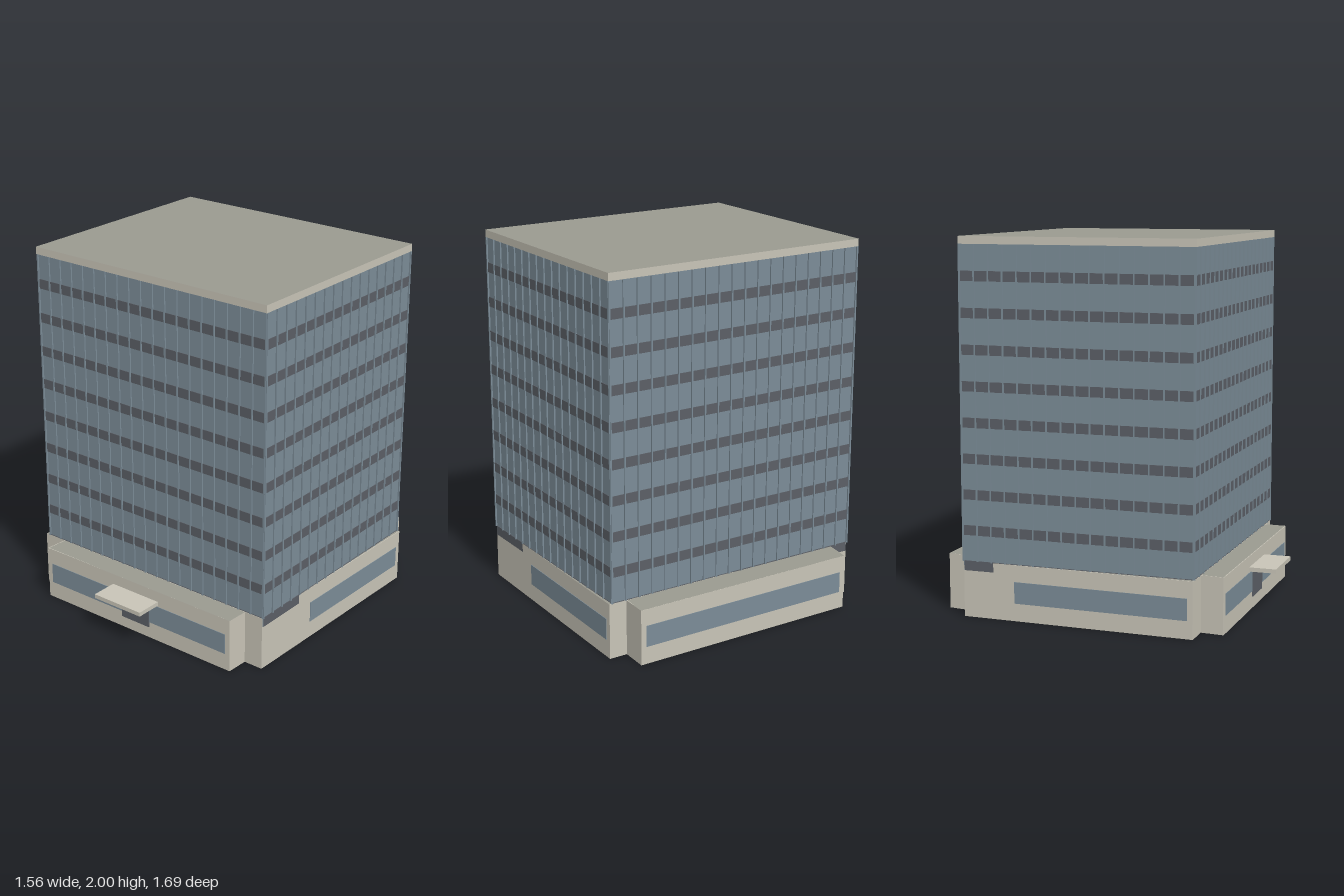
import * as THREE from 'three';

const mat = (name, color, side = THREE.FrontSide) => {
  const m = new THREE.MeshStandardMaterial({ color, side });
  m.name = name;
  return m;
};

export function createModel() {
  const model = new THREE.Group();
  model.name = 'officeTower';
  const stone = mat('paleStone', 0xc8c4b7);
  const glass = mat('blueGlass', 0x7b8c97);
  const dark = mat('darkSpandrel', 0x5b5f66);
  const roofing = mat('greyRoofing', 0x9a9a90, THREE.DoubleSide);

  // Upright panel frame: local x runs from a to b, local z points outward
  function side(name, a, b, parent) {
    const g = new THREE.Group();
    g.name = name;
    g.position.set(a[0], 0, a[1]);
    g.rotation.y = Math.atan2(a[1] - b[1], b[0] - a[0]);
    g.userData.len = Math.hypot(b[0] - a[0], b[1] - a[1]);
    parent.add(g);
    return g;
  }
  // Box in a side's own frame
  function plate(g, name, x0, x1, y0, y1, z0, z1, material) {
    const m = new THREE.Mesh(new THREE.BoxGeometry(x1 - x0, y1 - y0, z1 - z0), material);
    m.position.set((x0 + x1) / 2, (y0 + y1) / 2, (z0 + z1) / 2);
    m.name = name;
    g.add(m);
  }
  // Flat horizontal cap over plan points [x, z], with an optional hole
  function cap(name, pts, y, hole) {
    const v = (p) => new THREE.Vector2(p[0], -p[1]);
    const shape = new THREE.Shape(pts.map(v));
    if (hole) shape.holes.push(new THREE.Path(hole.map(v)));
    const m = new THREE.Mesh(new THREE.ShapeGeometry(shape).rotateX(-Math.PI / 2), roofing);
    m.position.y = y;
    m.name = name;
    model.add(m);
  }
  const rect = (x0, x1, zb, zf) => [[x0, zf], [x1, zf], [x1, zb], [x0, zb]];
  const names = ['front', 'left', 'back', 'right'];
  const H = 0.3;

  // Tower: open glass shell with spandrel bands and mullions
  const plan = rect(-0.751, 0.757, -0.692, 0.572);
  const tower = new THREE.Group();
  tower.name = 'tower';
  model.add(tower);
  plan.forEach((a, i) => {
    const g = side(names[i] + 'Facade', a, plan[(i + 1) % 4], tower);
    const L = g.userData.len, n = i % 2 ? 16 : 19, w = L / n;
    plate(g, 'glassWall', 0, L, 0.25, 1.96, -0.004, 0, glass);
    for (let f = 0; f < 9; f++) {
      const y = 0.25 + f * 0.19;
      plate(g, 'spandrelBand', 0.004, L - 0.004, y, y + 0.053, 0, 0.003, dark);
    }
    for (let k = 0; k <= n; k++) {
      plate(g, 'mullion', k * w - 0.004, k * w + 0.004, H, 1.96, 0, 0.008, glass);
    }
  });

  // Roof slab with stone edge and grey top
  const roof = rect(-0.757, 0.763, -0.698, 0.58);
  const slab = new THREE.Mesh(new THREE.BoxGeometry(1.52, 0.04, 1.278),
    [stone, stone, roofing, stone, stone, stone]);
  slab.position.set(0.003, 1.98, -0.059);
  slab.name = 'roofSlab';
  model.add(slab);

  // Podium: slightly skewed hollow walls
  const base = [[-0.78, 0.577], [0.755, 0.577], [0.775, -0.697], [-0.75, -0.693]];
  const podium = new THREE.Group();
  podium.name = 'podium';
  model.add(podium);
  const walls = base.map((a, i) => {
    const g = side(names[i] + 'PodiumWall', a, base[(i + 1) % 4], podium);
    plate(g, 'wall', 0, g.userData.len, 0, H, -0.004, 0, stone);
    return g;
  });
  cap('podiumLedge', base, H, rect(-0.73, 0.735, -0.672, 0.552));

  // Podium side windows, plus glazing on the inner faces
  const band = (g, x0, x1, z) => plate(g, 'windowBand', x0, x1, 0.095, 0.21, z, z + 0.003, glass);
  band(walls[1], 0.42, 1.242, 0);
  band(walls[3], 0.29, 1.24, 0);
  band(walls[0], 0.13, 1.4, -0.007);
  band(walls[3], 0.84, 1.24, -0.007);

  // Projecting front and back bays
  function bay(name, pts) {
    const b = new THREE.Group();
    b.name = name;
    model.add(b);
    for (let i = 0; i < 3; i++) {
      const g = side(name + 'Wall' + i, pts[i], pts[i + 1], b);
      plate(g, 'wall', 0, g.userData.len, 0, H, -0.004, 0, stone);
      if (i === 1) band(g, 0.03, g.userData.len - 0.03, 0);
    }
    cap(name + 'Roof', pts, H);
  }
  bay('frontBay', [[-0.64, 0.577], [-0.65, 0.7], [0.64, 0.7], [0.645, 0.577]]);
  bay('backBay', [[0.675, -0.697], [0.68, -0.845], [-0.62, -0.84], [-0.64, -0.697]]);

  // Entrance door and canopy
  plate(model, 'entranceDoor', -0.1, 0.093, 0.065, 0.21, 0.7, 0.706, dark);
  plate(model, 'canopy', -0.163, 0.155, 0.217, 0.24, 0.698, 0.847, stone);

  return model;
}
